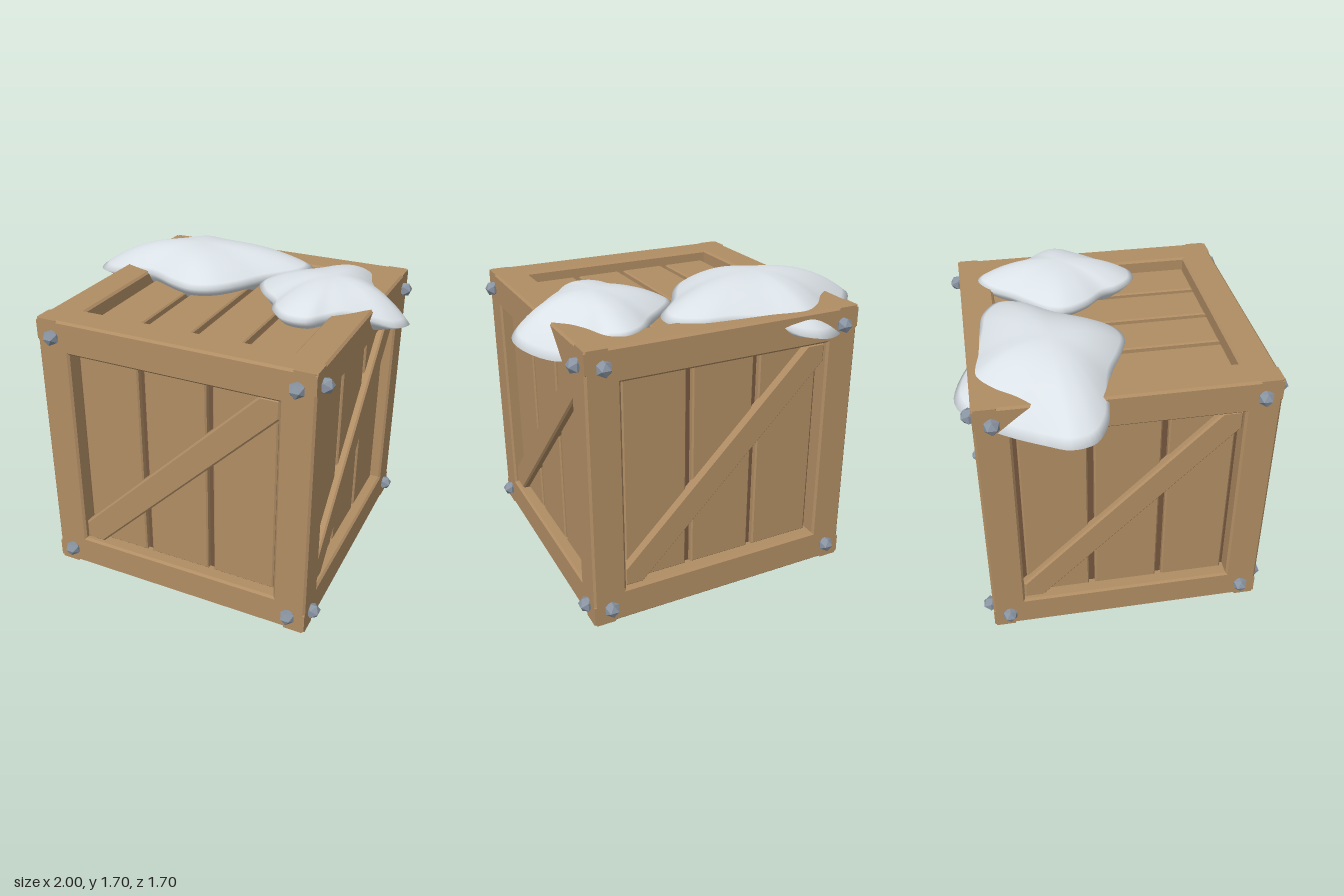
import * as THREE from 'three';
import { mergeVertices } from 'three/addons/utils/BufferGeometryUtils.js';

const wood = new THREE.MeshStandardMaterial({ name: 'wood', color: 0xb08d64 });
const darkWood = new THREE.MeshStandardMaterial({ name: 'dark wood', color: 0x75573f });
const steel = new THREE.MeshStandardMaterial({ name: 'steel', color: 0x8a95a3 });
const snow = new THREE.MeshStandardMaterial({ name: 'snow', color: 0xdce3e8 });

const HALF = 0.784;      // half the crate's edge
const OPENING = 0.598;   // half the opening of each frame
const CENTRE = [0.05, 0.791, 0.0135];

function polygon(points) {
  return new THREE.Shape(points.map(([x, y]) => new THREE.Vector2(x, y)));
}

function rectangle(w, h) {
  return polygon([[-w, -h], [w, -h], [w, h], [-w, h]]);
}

// Bevelled plate whose front face lies at z = front
function plate(shape, front, depth, bevel) {
  const geometry = new THREE.ExtrudeGeometry(shape, {
    depth: depth - 2 * bevel, bevelSize: bevel, bevelThickness: bevel,
    bevelOffset: -bevel, bevelSegments: 1,
  });
  return geometry.translate(0, 0, front - depth + bevel);
}

function add(parent, name, geometry, material) {
  const mesh = new THREE.Mesh(geometry, material);
  mesh.name = name;
  parent.add(mesh);
  return mesh;
}

// One crate face, built facing +z
function crateFace(name, plankCount, withBrace, withBolts) {
  const face = new THREE.Group();
  face.name = name;

  const ring = rectangle(HALF, HALF);
  ring.holes.push(rectangle(OPENING, OPENING));
  add(face, 'frame', plate(ring, HALF, 0.13, 0.012), wood);

  // Planks with dark gaps between them
  const gap = 0.036;
  const pitch = (1.148 + gap) / plankCount;
  for (let i = 0; i < plankCount; i++) {
    const plank = plate(rectangle((pitch - gap) / 2, 0.592), HALF - 0.06, 0.06, 0.008);
    add(face, 'plank', plank, wood).position.x = (i - (plankCount - 1) / 2) * pitch;
  }

  // Diagonal brace trimmed to the opening
  if (withBrace) {
    const e = OPENING - 0.002, c = e - 0.108;
    const outline = polygon([[-e, -e], [-c, -e], [e, c], [e, e], [c, e], [-e, -c]]);
    add(face, 'brace', plate(outline, HALF - 0.02, 0.06, 0.01), wood);
  }

  if (withBolts) {
    for (const x of [-0.69, 0.69]) for (const y of [-0.69, 0.69]) {
      const bolt = new THREE.IcosahedronGeometry(0.045, 0).rotateY(Math.PI / 2);
      add(face, 'bolt', bolt, steel).position.set(x, y, HALF + 0.013);
    }
  }
  return face;
}

// Snow patch: a lens stretched to an outline of [x, z, edge height]
function snowPatch(outline, cx, cz, peak) {
  const rim = new THREE.CatmullRomCurve3(
    outline.map(([x, z, y]) => new THREE.Vector3(x, y, z)), true);
  const rings = 14, profile = [];
  for (let i = -rings; i <= rings; i++) {
    profile.push(new THREE.Vector2(Math.max(1 - Math.abs(i) / rings, 0), i / rings));
  }
  const segments = 80;
  const lathe = new THREE.LatheGeometry(profile, segments);
  const position = lathe.attributes.position;
  const edge = new THREE.Vector3();
  for (let s = 0; s <= segments; s++) {
    rim.getPoint(1 - (s % segments) / segments, edge);
    profile.forEach((p, i) => {
      const t = p.x;
      const top = edge.y + (peak - edge.y) * (1 - Math.pow(t, 2.4));
      const under = THREE.MathUtils.lerp(1.46, edge.y, Math.pow(t, 4)) - 0.035 * Math.sin(Math.PI * t);
      const y = t === 0 ? (p.y > 0 ? peak : 1.46) : (p.y >= 0 ? top : under);
      position.setXYZ(s * profile.length + i, cx + (edge.x - cx) * t, y, cz + (edge.z - cz) * t);
    });
  }
  lathe.deleteAttribute('uv');
  lathe.deleteAttribute('normal');
  const geometry = mergeVertices(lathe, 1e-5);
  geometry.computeVertexNormals();
  return geometry;
}

export function createModel() {
  const model = new THREE.Group();
  model.name = 'snowy crate';

  const crate = new THREE.Group();
  crate.name = 'crate';
  crate.position.set(...CENTRE);
  model.add(crate);

  // Dark inner box seen through the gaps and from below
  const core = 2 * (HALF - 0.095);
  add(crate, 'core', new THREE.BoxGeometry(core, core, core), darkWood);

  // Four sides, each turned by a quarter
  ['front', 'left', 'back', 'right'].forEach((side, i) => {
    const face = crateFace(side + ' face', 3, true, true);
    face.rotation.y = i * Math.PI / 2;
    crate.add(face);
  });

  const lid = crateFace('top face', 4, false, false);
  lid.rotation.x = -Math.PI / 2;
  const base = crateFace('bottom face', 0, false, false);
  base.rotation.x = Math.PI / 2;
  crate.add(lid, base);

  // Large patch draped over the back right corner
  const E = 1.57;
  add(model, 'large snow patch', snowPatch([
    [-1, -0.32, 1.49], [-0.92, -0.44, 1.47], [-0.76, -0.62, 1.43], [-0.64, -0.76, 1.43],
    [-0.48, -0.85, 1.45], [-0.34, -0.82, 1.48], [-0.22, -0.74, 1.54], [0, -0.69, E],
    [0.18, -0.66, E], [0.3, -0.57, E], [0.29, -0.46, E], [0.13, -0.26, E],
    [0.02, -0.07, E], [-0.08, 0.04, E], [-0.2, 0.08, E], [-0.34, 0.04, E],
    [-0.53, -0.05, E], [-0.7, -0.09, 1.55], [-0.85, -0.12, 1.51], [-0.97, -0.2, 1.49],
  ], -0.33, -0.33, 1.71), snow);

  // Small patch draped over the left edge
  add(model, 'small snow patch', snowPatch([
    [0.57, -0.67, E], [0.66, -0.63, 1.56], [0.75, -0.56, 1.47], [0.84, -0.46, 1.42],
    [0.94, -0.35, 1.43], [1, -0.21, 1.46], [0.96, -0.09, 1.48], [0.84, -0.01, 1.53],
    [0.73, 0.06, E], [0.64, 0.15, E], [0.56, 0.25, E], [0.43, 0.25, E],
    [0.34, 0.16, E], [0.3, 0.06, E], [0.19, -0.05, E], [0.12, -0.19, E],
    [0.14, -0.28, E], [0.25, -0.4, E], [0.35, -0.49, E], [0.46, -0.62, E],
  ], 0.55, -0.19, 1.685), snow);

  return model;
}
